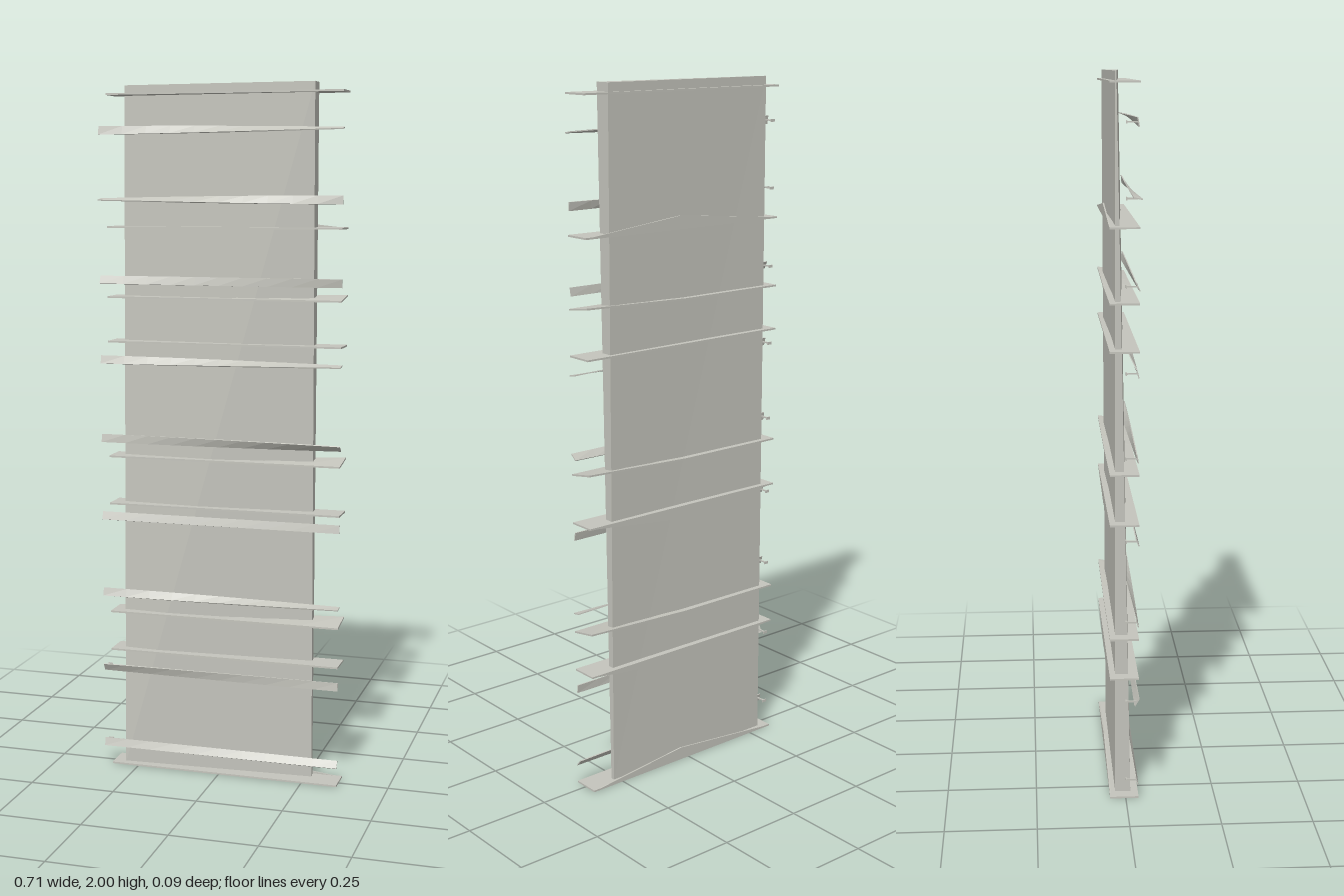
import * as THREE from 'three';

const stone = new THREE.MeshStandardMaterial({ color: 0xc4c4bc, flatShading: true, side: THREE.DoubleSide });
stone.name = 'pale warm grey';

const deg = Math.PI / 180;

function add(parent, name, geometry) {
  const mesh = new THREE.Mesh(geometry, stone);
  mesh.name = name;
  parent.add(mesh);
  return mesh;
}

// Moves every vertex of a geometry by a rule
function reshape(geometry, rule) {
  const p = geometry.attributes.position;
  const v = new THREE.Vector3();
  for (let i = 0; i < p.count; i++) {
    v.fromBufferAttribute(p, i);
    rule(v);
    p.setXYZ(i, v.x, v.y, v.z);
  }
  geometry.computeVertexNormals();
  return geometry;
}

// Tall panel whose ends taper in opposite directions
function panelGeometry() {
  // corners: back then front, each bottom right, bottom left, top left, top right
  const corners = [
    -0.295, 0.005, -0.028, 0.27, 0.005, -0.026, 0.27, 2, -0.035, -0.295, 2, -0.027,
    -0.295, 0.005, 0.015, 0.27, 0.005, -0.014, 0.27, 2, 0.013, -0.295, 2, -0.024,
  ];
  const faces = [
    4, 5, 6, 4, 6, 7, // front, creased along one diagonal
    0, 3, 1, 1, 3, 2, // back
    1, 2, 6, 1, 6, 5, // left end
    0, 4, 7, 0, 7, 3, // right end
    3, 7, 6, 3, 6, 2, // top
    0, 1, 5, 0, 5, 4, // bottom
  ];
  const g = new THREE.BufferGeometry();
  g.setAttribute('position', new THREE.Float32BufferAttribute(corners, 3));
  g.setIndex(faces);
  g.computeVertexNormals();
  return g;
}

// Flat shelf, its rear left corner bent up by lift
function shelfGeometry(lift) {
  const g = new THREE.BoxGeometry(0.685, 0.005, 0.08, 6, 1, 1);
  return reshape(g, (v) => {
    const along = Math.max(0, v.x / 0.3425);
    if (v.z < 0) v.y += lift * along;
    v.x += 0.0125;
    v.z -= 0.004;
  });
}

// Thin triangular web standing on or hanging from the rear edge of a shelf
function webGeometry(height) {
  const s = new THREE.Shape();
  s.moveTo(-0.33, 0);
  s.lineTo(0.355, 0);
  s.lineTo(0.03, height);
  s.closePath();
  return new THREE.ExtrudeGeometry(s, { depth: 0.004, bevelEnabled: false });
}

// Narrow strip twisted from one end to the other
function stripGeometry(fromAngle, toAngle) {
  const g = new THREE.BoxGeometry(0.71, 0.024, 0.003, 10, 1, 1);
  return reshape(g, (v) => {
    const a = -(fromAngle + (toAngle - fromAngle) * (v.x / 0.71 + 0.5)) * deg;
    const { y, z } = v;
    v.y = y * Math.cos(a) - z * Math.sin(a);
    v.z = y * Math.sin(a) + z * Math.cos(a);
  });
}

export function createModel() {
  const model = new THREE.Group();
  model.name = 'slattedPanel';

  add(model, 'panel', panelGeometry());

  // Shelves: height, corner lift, web height
  const shelves = [
    [0.008, 0, 0.035], [0.36, 0, -0.035], [0.475, 0.014, 0], [0.8, 0, -0.035],
    [0.94, 0.014, 0], [1.275, 0, 0], [1.403, 0.012, 0], [1.602, 0, 0.035], [1.973, 0, 0],
  ];
  for (const [y, lift, web] of shelves) {
    const shelf = new THREE.Group();
    shelf.name = 'shelf';
    shelf.position.y = y;
    add(shelf, 'shelfPlate', shelfGeometry(lift));
    if (web) add(shelf, 'shelfWeb', webGeometry(web)).position.z = -0.044;
    model.add(shelf);
  }

  // Front strips: height, twist at the right end, twist at the left end
  const strips = [
    [0.07, 15, 40], [0.302, -30, 5], [0.532, 15, 80], [0.762, 20, 10], [0.992, 10, -50],
    [1.222, 15, 80], [1.452, 25, -10], [1.68, 80, 5], [1.873, 10, 80],
  ];
  for (const [y, from, to] of strips) {
    const strip = new THREE.Group();
    strip.name = 'frontStrip';
    strip.position.set(0, y, 0.029);
    add(strip, 'stripPlate', stripGeometry(from, to));
    // Small headed pin behind the right end
    add(strip, 'pin', new THREE.BoxGeometry(0.004, 0.004, 0.028)).position.set(-0.347, 0, -0.015);
    add(strip, 'pinHead', new THREE.BoxGeometry(0.014, 0.008, 0.003)).position.set(-0.347, 0, -0.03);
    model.add(strip);
  }

  return model;
}
